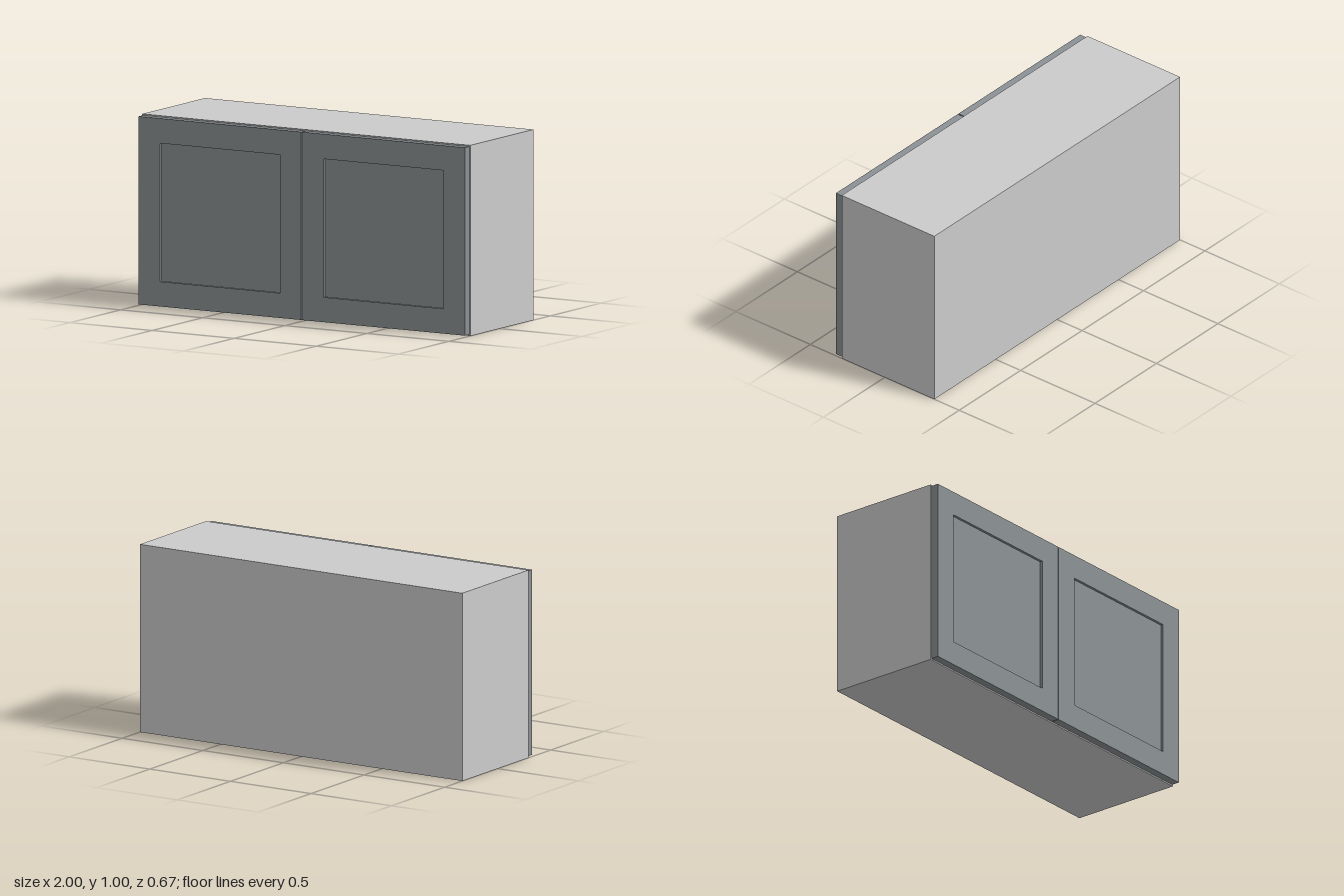
import * as THREE from 'three';

const carcassMaterial = new THREE.MeshStandardMaterial({ color: 0xcccccc });
const doorMaterial = new THREE.MeshStandardMaterial({ color: 0x8b9194 });

// Box given by its minimum and maximum corners
function box(name, material, [x0, y0, z0], [x1, y1, z1]) {
  const mesh = new THREE.Mesh(new THREE.BoxGeometry(x1 - x0, y1 - y0, z1 - z0), material);
  mesh.name = name;
  mesh.position.set((x0 + x1) / 2, (y0 + y1) / 2, (z0 + z1) / 2);
  return mesh;
}

function rectangle(path, x0, y0, x1, y1) {
  path.moveTo(x0, y0);
  path.lineTo(x1, y0);
  path.lineTo(x1, y1);
  path.lineTo(x0, y1);
  path.closePath();
  return path;
}

const BACK = -0.333, FRONT = 0.289, DOOR_FRONT = 0.333, BOARD = 0.04;

// Shaker door: a frame around a recessed flat panel
function createDoor(name, x0, x1) {
  const door = new THREE.Group();
  door.name = name;
  const y0 = 0.007, y1 = 0.993, rail = 0.13;
  const shape = rectangle(new THREE.Shape(), x0, y0, x1, y1);
  shape.holes.push(rectangle(new THREE.Path(), x0 + rail, y0 + rail, x1 - rail, y1 - rail));
  const frame = new THREE.Mesh(
    new THREE.ExtrudeGeometry(shape, { depth: DOOR_FRONT - FRONT, bevelEnabled: false }),
    doorMaterial
  );
  frame.name = 'doorFrame';
  frame.position.z = FRONT;
  door.add(frame, box('doorPanel', doorMaterial,
    [x0 + rail, y0 + rail, FRONT + 0.01], [x1 - rail, y1 - rail, DOOR_FRONT - 0.014]));
  return door;
}

export function createModel() {
  const cabinet = new THREE.Group();
  cabinet.name = 'wallCabinet';
  const inner = 1 - BOARD;

  // Carcass boards
  cabinet.add(
    box('rightSide', carcassMaterial, [-1, 0, BACK], [-inner, 1, FRONT]),
    box('leftSide', carcassMaterial, [inner, 0, BACK], [1, 1, FRONT]),
    box('topBoard', carcassMaterial, [-inner, 1 - BOARD, BACK], [inner, 1, FRONT]),
    box('bottomBoard', carcassMaterial, [-inner, 0, BACK], [inner, BOARD, FRONT]),
    box('backBoard', carcassMaterial, [-inner, BOARD, BACK], [inner, 1 - BOARD, BACK + BOARD])
  );

  // Pair of doors with a narrow gap between them
  cabinet.add(createDoor('rightDoor', -0.994, -0.003), createDoor('leftDoor', 0.003, 0.994));
  return cabinet;
}
